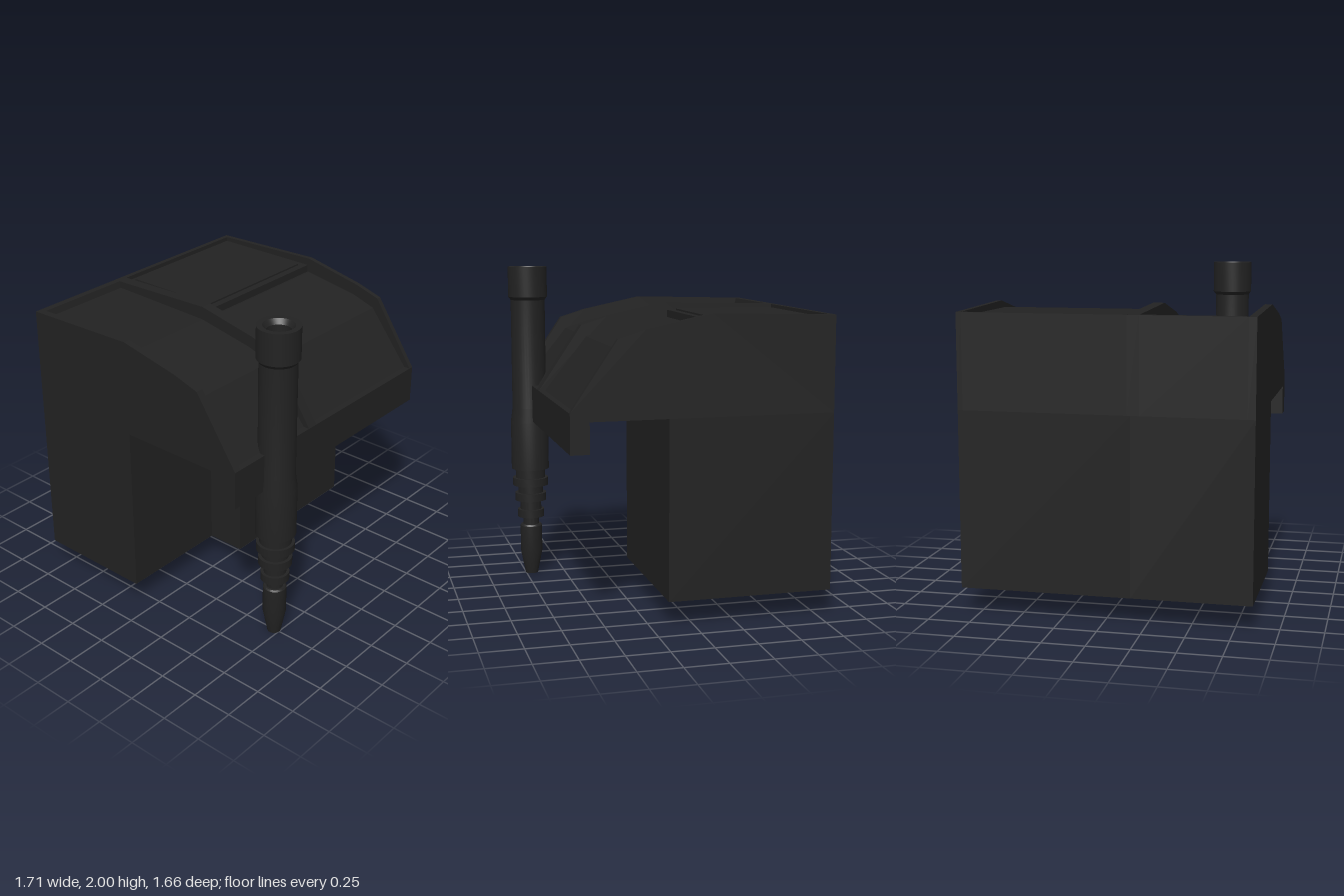
import * as THREE from 'three';
import { toCreasedNormals } from 'three/addons/utils/BufferGeometryUtils.js';

const material = new THREE.MeshStandardMaterial({ color: 0x222222 });

export function createModel() {
  const model = new THREE.Group();

  const add = (name, geometry) => {
    const mesh = new THREE.Mesh(geometry, material);
    mesh.name = name;
    model.add(mesh);
    return mesh;
  };

  // Box given by its limits on each axis
  const box = (name, [x0, x1], [y0, y1], [z0, z1]) => {
    const g = new THREE.BoxGeometry(x1 - x0, y1 - y0, z1 - z0);
    g.translate((x0 + x1) / 2, (y0 + y1) / 2, (z0 + z1) / 2);
    return add(name, g);
  };

  // Side profile of [z, y] points, extruded from x0 to x1
  const slab = (name, x0, x1, profile) => {
    const shape = new THREE.Shape(profile.map(([z, y]) => new THREE.Vector2(z, y)));
    const g = new THREE.ExtrudeGeometry(shape, { depth: x1 - x0, bevelEnabled: false });
    g.rotateY(-Math.PI / 2);
    g.translate(x1, 0, 0);
    return add(name, g);
  };

  // Lower housing: the right-hand column is deeper than the other
  box('lowerHousingShallow', [-0.855, -0.155], [0.15, 1.2], [-0.83, -0.09]);
  box('lowerHousingDeep', [-0.155, 0.855], [0.15, 1.2], [-0.83, 0.15]);

  // Upright ribs that border the two channels of the hood
  const base = [[-0.83, 1.2], [0.71, 1.2], [0.71, 1.25]];
  const wall = [...base, [0.44, 1.65], [0.28, 1.7], [-0.1, 1.78], [-0.83, 1.76]];
  slab('outerWallRight', -0.855, -0.81, wall);
  slab('divider', -0.205, -0.135, wall);
  slab('outerWallLeft', 0.825, 0.855, wall);

  // Sunken channel floors with a rim along the back
  const slope = [...base, [0.67, 1.25], [0.41, 1.58], [0.26, 1.63]];
  slab('channelFloorRight', -0.81, -0.205,
    [...slope, [-0.1, 1.7], [-0.78, 1.72], [-0.79, 1.76], [-0.83, 1.76]]);
  slab('channelFloorLeft', -0.135, 0.825,
    [...slope, [-0.1, 1.69], [-0.8, 1.69], [-0.8, 1.76], [-0.83, 1.76]]);

  // Platform with a framed lid on the wider channel
  box('platform', [-0.135, 0.825], [1.68, 1.735], [-0.8, -0.11]);
  box('lid', [-0.085, 0.78], [1.73, 1.745], [-0.77, -0.155]);

  // Lip hanging along the front edge
  box('frontLip', [-0.855, 0.855], [1.02, 1.2], [0.6, 0.71]);

  // Upright tool: stepped turned profile of [radius, y]
  const profile = [
    [0, 0], [0.04, 0], [0.07, 0.15], [0.07, 0.32], [0.063, 0.33], [0.05, 0.33], [0.05, 0.38],
    [0.085, 0.38], [0.085, 0.43], [0.067, 0.43], [0.067, 0.49],
    [0.1, 0.49], [0.1, 0.54], [0.08, 0.54], [0.08, 0.59],
    [0.113, 0.59], [0.113, 0.64], [0.095, 0.64], [0.095, 0.7],
    [0.12, 0.7], [0.12, 1.01], [0.108, 1.1], [0.108, 1.79],
    [0.123, 1.81], [0.123, 2], [0.09, 2], [0.07, 1.97], [0.07, 1.9], [0, 1.9],
  ].map(([r, y]) => new THREE.Vector2(r, y));
  const tool = add('tool', toCreasedNormals(new THREE.LatheGeometry(profile, 40), 0.5));
  tool.position.set(-0.5, 0, 0.712);

  return model;
}
